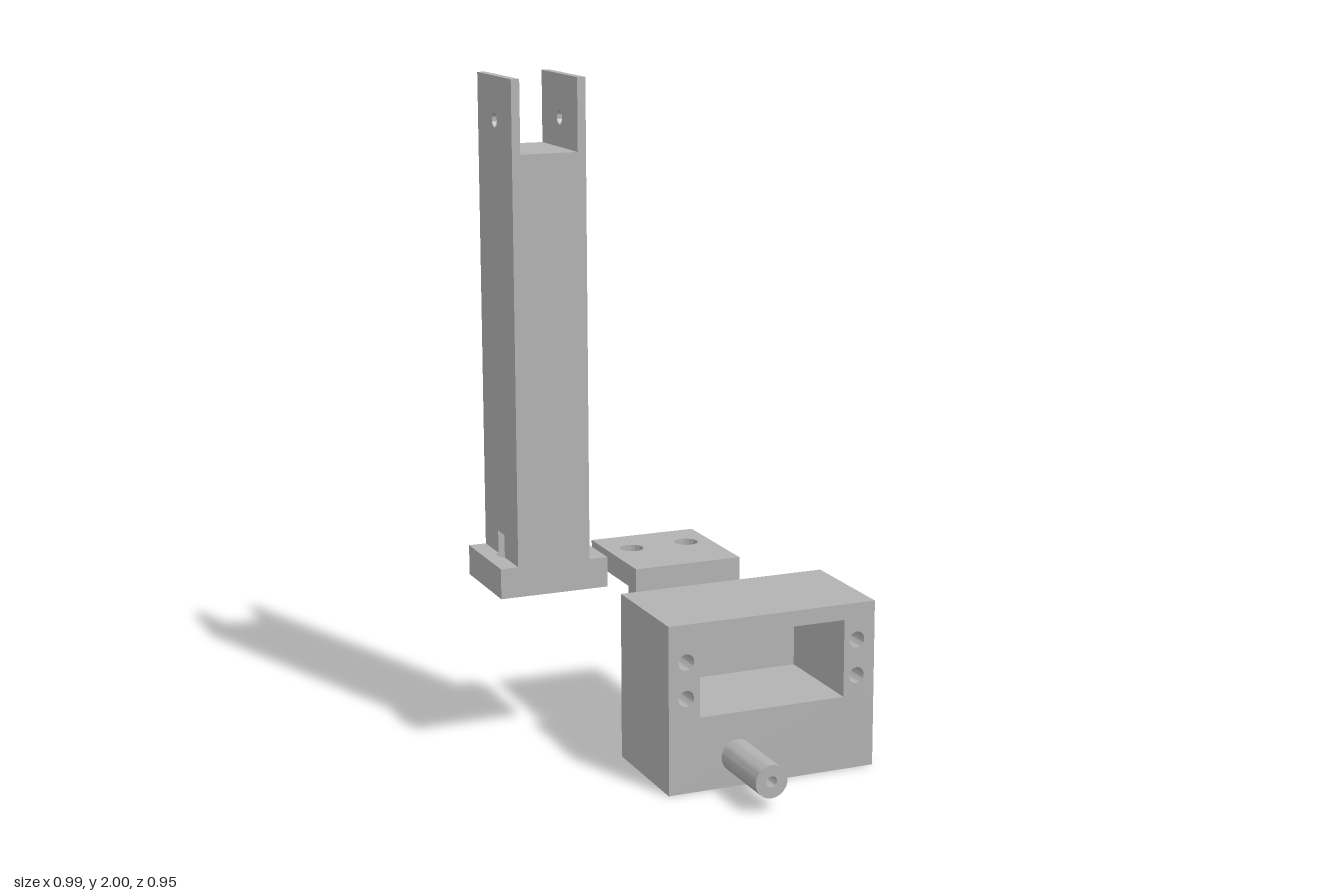
import * as THREE from 'three';
import { toCreasedNormals } from 'three/addons/utils/BufferGeometryUtils.js';

const grey = new THREE.MeshStandardMaterial({ color: 0xb2b2b2 });
grey.name = 'plain grey';

function rect(x0, y0, x1, y1) {
  const s = new THREE.Shape();
  s.moveTo(x0, y0).lineTo(x1, y0).lineTo(x1, y1).lineTo(x0, y1).closePath();
  return s;
}

function circle(x, y, r) {
  return new THREE.Path().absarc(x, y, r, 0, Math.PI * 2, true);
}

// Extrudes a shape with holes from level a to level b along the given axis.
// For 'y' the shape is drawn in (x, -z); for 'x' it is drawn in (-z, y).
function slab(name, shape, holes, a, b, axis) {
  shape.holes.push(...holes);
  let g = new THREE.ExtrudeGeometry(shape, { depth: b - a, bevelEnabled: false, curveSegments: 16 });
  g.translate(0, 0, a);
  if (axis === 'y') g.rotateX(-Math.PI / 2);
  if (axis === 'x') g.rotateY(Math.PI / 2);
  g = toCreasedNormals(g, 0.6);
  const m = new THREE.Mesh(g, grey);
  m.name = name;
  return m;
}

function group(name, ...parts) {
  const g = new THREE.Group();
  g.name = name;
  g.add(...parts);
  return g;
}

// Motor housing: front layer with screw holes, pocket layer, closed back
function makeHousing() {
  const outline = () => rect(-0.155, 0, 0.495, 0.502);
  const pocket = () => rect(-0.059, 0.222, 0.397, 0.455);
  const screws = [];
  for (const x of [-0.101, 0.438]) for (const y of [0.283, 0.391]) screws.push(circle(x, y, 0.024));
  return group('housing',
    slab('housingFront', outline(), [pocket(), ...screws], 0.125, 0.245),
    slab('housingMiddle', outline(), [pocket()], -0.085, 0.125),
    slab('housingBack', outline(), [], -0.11, -0.085));
}

// Peg with a small bore in its end
function makePeg() {
  const disc = () => new THREE.Shape().absarc(0.058, 0.092, 0.049, 0, Math.PI * 2);
  return group('peg',
    slab('pegRoot', disc(), [], 0.24, 0.3),
    slab('pegTip', disc(), [circle(0.058, 0.092, 0.016)], 0.3, 0.475));
}

// Angle bracket: back plate and shelf with counterbored holes
function makeBracket() {
  const shelf = () => rect(-0.107, 0.11, 0.226, 0.465);
  const bores = (r) => [-0.03, 0.149].map((x) => circle(x, 0.332, r));
  return group('bracket',
    slab('bracketBackPlate', rect(-0.107, 0, 0.226, 0.508), [], -0.17, -0.11),
    slab('bracketShelfLower', shelf(), bores(0.02), 0.505, 0.54, 'y'),
    slab('bracketShelfUpper', shelf(), bores(0.036), 0.54, 0.571, 'y'));
}

// Tower: flanged foot, column with screw clearances, fork on top
function makeTower() {
  const cz = 0.332, z0 = 0.188, z1 = 0.475;
  const left = -0.444, right = -0.222, wall = 0.025;
  const holeX = [-0.423, -0.243], r = 0.035;
  const foot = () => rect(-0.497, z0, -0.166, z1);
  const bores = (radius) => holeX.map((x) => circle(x, cz, radius));

  // Column footprint with round clearances cut into both sides
  const t = Math.acos((right - holeX[1]) / r);
  const notched = new THREE.Shape();
  notched.moveTo(left, z0).lineTo(right, z0);
  notched.absarc(holeX[1], cz, r, -t, t, true);
  notched.lineTo(right, z1).lineTo(left, z1);
  notched.absarc(holeX[0], cz, r, Math.PI - t, Math.PI + t, true);
  notched.closePath();

  const cheek = (name, x) =>
    slab(name, rect(z0, 1.79, z1, 2), [circle(cz, 1.875, 0.021)], x, x + wall, 'x');

  return group('tower',
    slab('footLower', foot(), bores(0.02), 0.505, 0.55, 'y'),
    slab('footUpper', foot(), bores(r), 0.55, 0.595, 'y'),
    slab('columnNotched', notched, [], 0.595, 0.663, 'y'),
    slab('column', rect(left, z0, right, z1), [], 0.663, 1.79, 'y'),
    cheek('forkRight', left),
    cheek('forkLeft', right - wall));
}

export function createModel() {
  return group('servoMount', makeHousing(), makePeg(), makeBracket(), makeTower());
}
